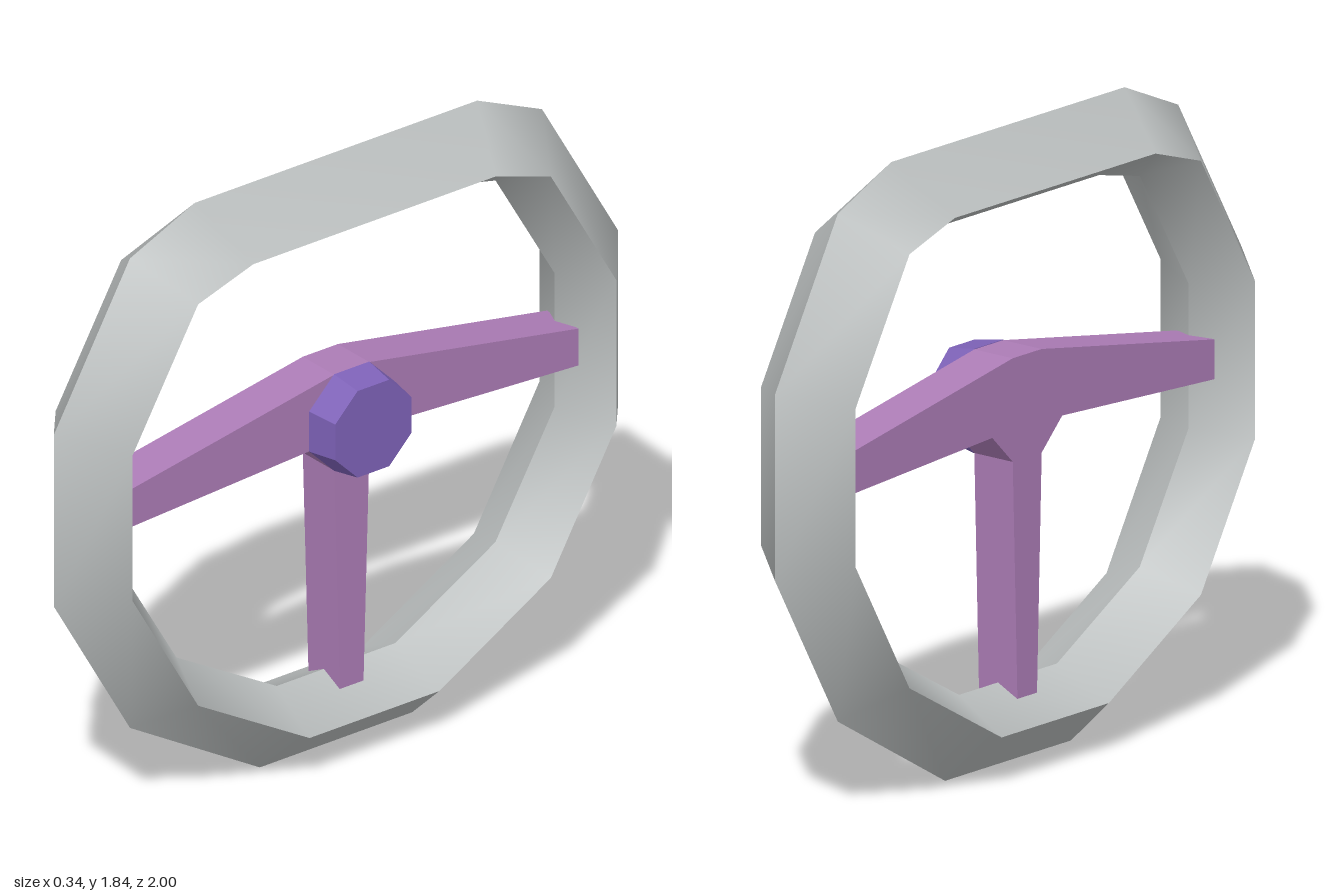
import * as THREE from 'three';

const rimGrey = new THREE.MeshStandardMaterial({ color: 0xb9bdbd });
rimGrey.name = 'rimGrey';
const spokePurple = new THREE.MeshStandardMaterial({ color: 0xac7cb6 });
spokePurple.name = 'spokePurple';
const hubViolet = new THREE.MeshStandardMaterial({ color: 0x7e62b8 });
hubViolet.name = 'hubViolet';

// Mirror a half outline of [z, y] points into a closed loop
const mirrorLoop = (half) => [...half, ...half.map(([z, y]) => [-z, y]).reverse()];

// Rim outlines in the z-y plane, top to bottom
const outer = mirrorLoop([[0.5, 1.835], [0.73, 1.735], [1, 1.27], [1, 0.735], [0.73, 0.27], [0.27, 0]]);
const middle = mirrorLoop([[0.43, 1.69], [0.625, 1.627], [0.857, 1.23], [0.857, 0.775], [0.625, 0.375], [0.23, 0.148]]);
const inner = mirrorLoop([[0.39, 1.605], [0.565, 1.565], [0.775, 1.208], [0.775, 0.793], [0.565, 0.437], [0.21, 0.235]]);

// Band between two outlines, smooth along the ring
function band(a, ax, b, bx) {
  const n = a.length;
  const positions = [];
  const index = [];
  for (let i = 0; i < n; i++) {
    positions.push(ax, a[i][1], a[i][0], bx, b[i][1], b[i][0]);
    const j = (i + 1) % n;
    index.push(2 * i, 2 * j, 2 * i + 1, 2 * i + 1, 2 * j, 2 * j + 1);
  }
  const geometry = new THREE.BufferGeometry();
  geometry.setAttribute('position', new THREE.Float32BufferAttribute(positions, 3));
  geometry.setIndex(index);
  geometry.computeVertexNormals();
  return geometry;
}

function add(parent, name, geometry, material) {
  const mesh = new THREE.Mesh(geometry, material);
  mesh.name = name;
  parent.add(mesh);
}

export function createModel() {
  const model = new THREE.Group();
  model.name = 'steeringWheel';

  // Rim with a kite-shaped section
  const rim = new THREE.Group();
  rim.name = 'rim';
  const w = 0.172;
  add(rim, 'outerBandLeft', band(outer, 0, middle, w), rimGrey);
  add(rim, 'innerBandLeft', band(middle, w, inner, 0), rimGrey);
  add(rim, 'innerBandRight', band(inner, 0, middle, -w), rimGrey);
  add(rim, 'outerBandRight', band(middle, -w, outer, 0), rimGrey);
  model.add(rim);

  // Three spokes in one flat plate
  const outline = mirrorLoop([
    [0.062, 1.187], [0.803, 1.055], [0.803, 0.94], [0.15, 0.976], [0.062, 0.888], [0.042, 0.2],
  ]);
  const shape = new THREE.Shape(outline.map(([z, y]) => new THREE.Vector2(-z, y)));
  const plate = new THREE.ExtrudeGeometry(shape, { depth: 0.14, bevelEnabled: false });
  plate.translate(0, 0, -0.07).rotateY(Math.PI / 2);
  add(model, 'spokes', plate, spokePurple);

  // Tapered octagonal hub cap
  const hub = new THREE.CylinderGeometry(0.146, 0.163, 0.097, 8).toNonIndexed();
  hub.rotateY(Math.PI / 8).rotateZ(-Math.PI / 2).translate(0.1185, 1.038, 0);
  hub.computeVertexNormals();
  add(model, 'hub', hub, hubViolet);

  return model;
}
